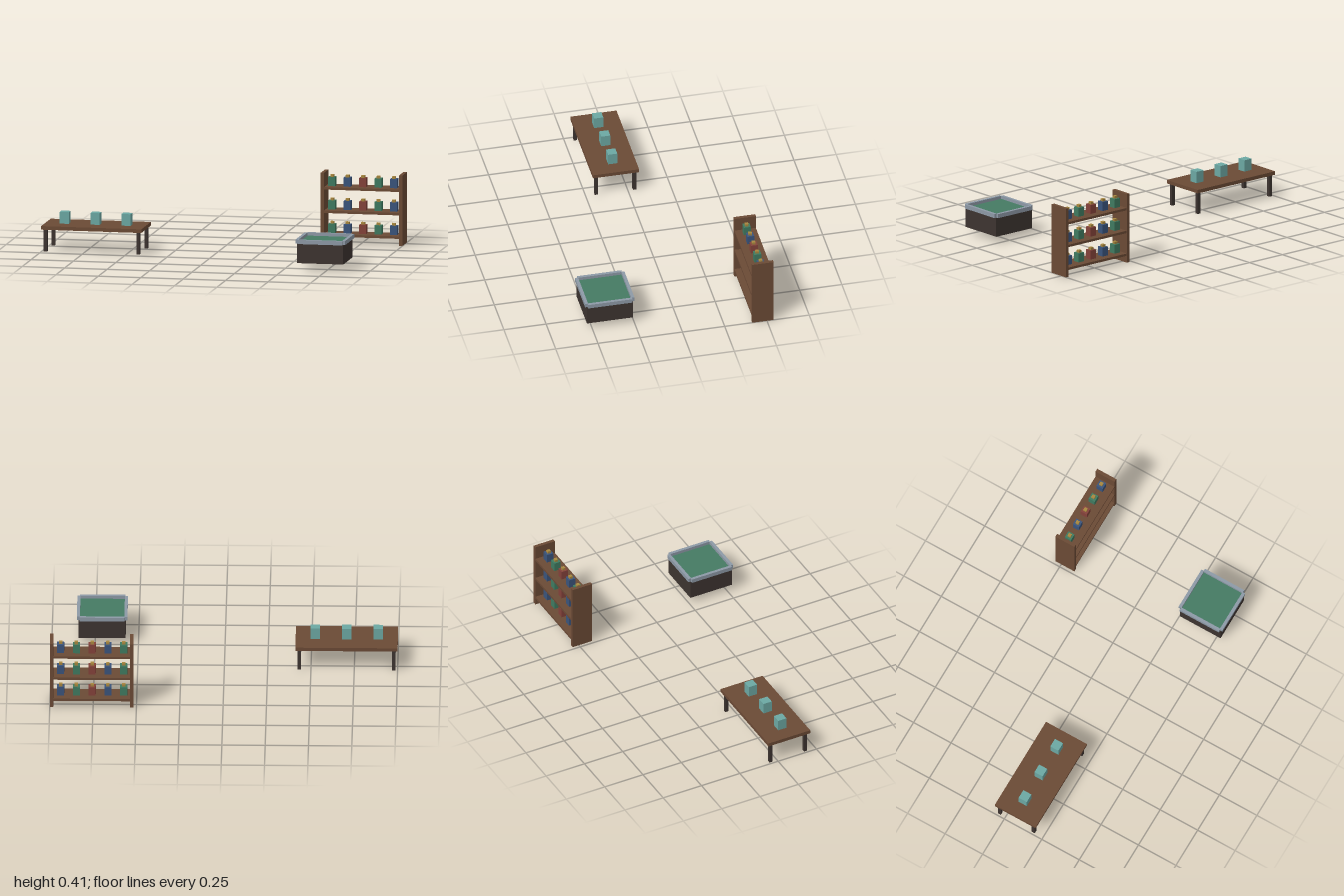
import * as THREE from 'three';

const paint = (color) => new THREE.MeshStandardMaterial({ color });
const WOOD = paint(0x6b4a35), DARK = paint(0x3d3430), TEAL = paint(0x6ca8a3);
const RIM = paint(0x8d99a6), FELT = paint(0x457a63), GOLD = paint(0xa8873f);
const GREEN = paint(0x3f7a60), BLUE = paint(0x3a547c), RED = paint(0x84423a);

// Box of size w, h, d standing on height y, centred on x and z
function box(parent, name, material, w, h, d, x, y, z) {
  const mesh = new THREE.Mesh(new THREE.BoxGeometry(w, h, d), material);
  mesh.position.set(x, y + h / 2, z);
  mesh.name = name;
  parent.add(mesh);
  return mesh;
}

function group(name, x, z) {
  const g = new THREE.Group();
  g.name = name;
  g.position.set(x, 0, z);
  return g;
}

// Low table with three blocks on it
function makeTable() {
  const table = group('table', -0.705, 0.073);
  box(table, 'tableTop', WOOD, 0.59, 0.021, 0.273, 0, 0.129, 0);
  for (const sx of [-1, 1])
    for (const sz of [-1, 1])
      box(table, 'tableLeg', DARK, 0.02, 0.129, 0.02, sx * 0.273, 0, sz * 0.113);
  for (const i of [-1, 0, 1])
    box(table, 'block', TEAL, 0.054, 0.068, 0.054, i * 0.182, 0.15, 0);
  return table;
}

// Square bin with four rim bars around a sunken surface
function makeBin() {
  const bin = group('bin', 0.71, 0.394);
  box(bin, 'binBody', DARK, 0.272, 0.113, 0.272, 0, 0.037, 0);
  box(bin, 'binSurface', FELT, 0.258, 0.006, 0.258, 0, 0.15, 0);
  for (const s of [-1, 1]) {
    box(bin, 'rimEnd', RIM, 0.262, 0.024, 0.018, 0, 0.15, s * 0.137);
    box(bin, 'rimSide', RIM, 0.018, 0.024, 0.262, s * 0.137, 0.15, 0);
  }
  return bin;
}

// Open shelf with three rows of five capped bottles
function makeShelf() {
  const shelf = group('shelf', 0.759, -0.476);
  for (const s of [-1, 1])
    box(shelf, 'shelfSide', WOOD, 0.02, 0.412, 0.127, s * 0.231, 0, 0);
  const colors = [GREEN, BLUE, RED, GREEN, BLUE];
  for (let row = 0; row < 3; row++) {
    const top = 0.055 + row * 0.137;
    box(shelf, 'shelfBoard', WOOD, 0.444, 0.014, 0.126, 0, top - 0.014, 0);
    colors.forEach((color, i) => {
      const x = -0.003 + (i - 2) * 0.091;
      box(shelf, 'bottle', color, 0.041, 0.053, 0.041, x, top, 0);
      box(shelf, 'bottleCap', GOLD, 0.02, 0.014, 0.02, x, top + 0.053, 0);
    });
  }
  return shelf;
}

export function createModel() {
  const model = new THREE.Group();
  model.name = 'shopFurniture';
  model.add(makeTable(), makeBin(), makeShelf());
  return model;
}
